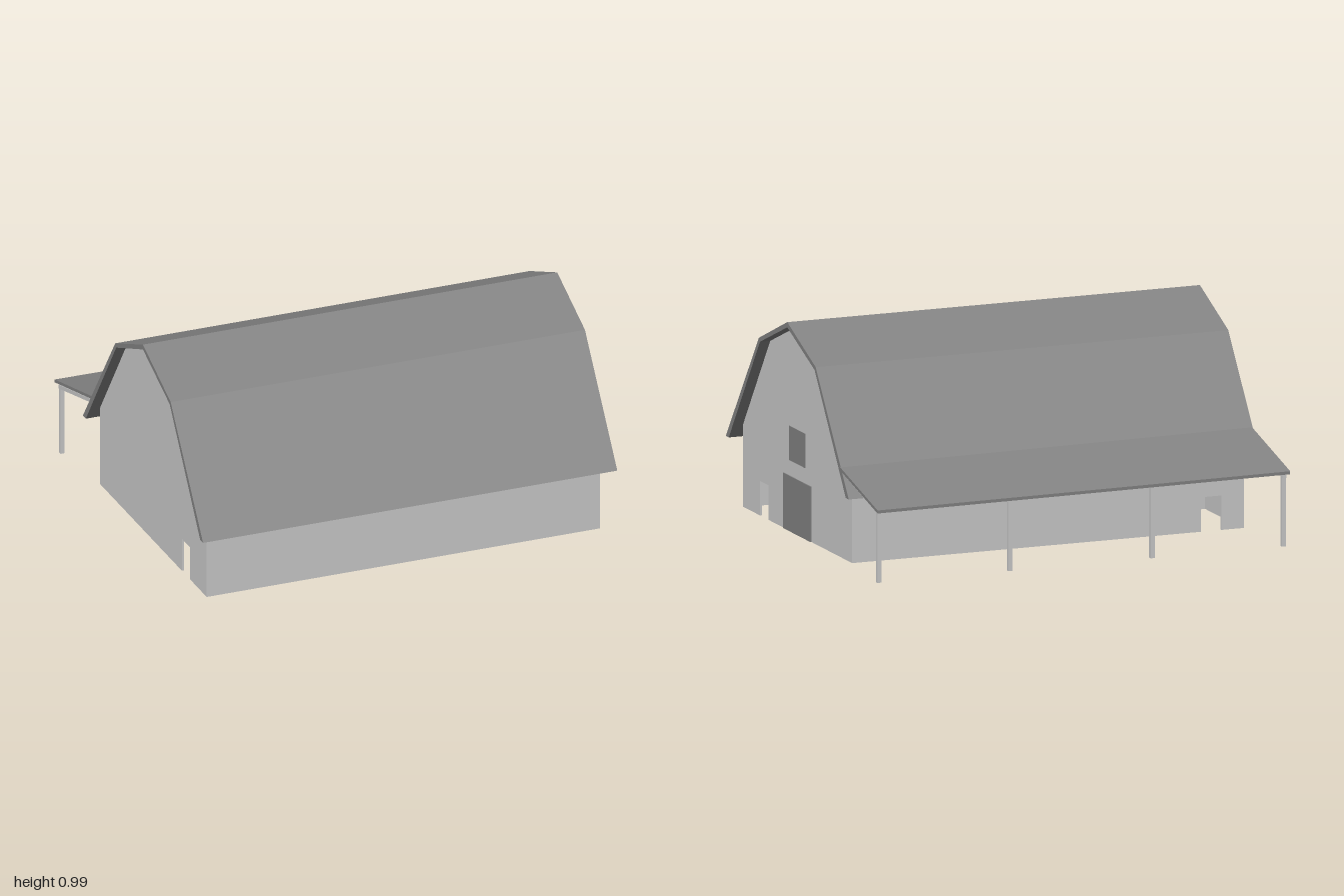
import * as THREE from 'three';

const grey = new THREE.MeshStandardMaterial({ color: 0xcccccc, flatShading: true });
const dark = new THREE.MeshStandardMaterial({ color: 0x838383, flatShading: true });

export function createModel() {
  const barn = new THREE.Group();

  const add = (name, geometry, material = grey) => {
    const mesh = new THREE.Mesh(geometry, material);
    mesh.name = name;
    barn.add(mesh);
    return mesh;
  };

  // Box given by its limits on each axis
  const box = (name, [x0, x1], [y0, y1], [z0, z1], material) =>
    add(name, new THREE.BoxGeometry(x1 - x0, y1 - y0, z1 - z0)
      .translate((x0 + x1) / 2, (y0 + y1) / 2, (z0 + z1) / 2), material);

  const outline = (points) => new THREE.Shape(points.map(([a, b]) => new THREE.Vector2(a, b)));
  const extrude = (points, depth) =>
    new THREE.ExtrudeGeometry(outline(points), { depth, bevelEnabled: false });

  // Cross-section of [z, y] points swept along x
  const sweepX = (name, points, x0, x1, material) =>
    add(name, extrude(points.map(([z, y]) => [-z, y]), x1 - x0)
      .rotateY(Math.PI / 2).translate(x0, 0, 0), material);

  // Outline of [x, y] points swept along z
  const sweepZ = (name, points, z0, z1) =>
    add(name, extrude(points, z1 - z0).translate(0, 0, z0));

  const ridge = 0.17, base = 0.008, t = 0.01;
  const mirrorZ = (points) => points.map(([z, y]) => [2 * ridge - z, y]).reverse();

  // Gambrel roof shell, overhanging all walls
  const outer = [[0.885, 0.32], [0.5, 0.848]];
  const inner = [[0.85, 0.32], [0.488, 0.832]];
  sweepX('roof', [
    ...outer, [ridge, 0.987], ...mirrorZ(outer),
    ...mirrorZ(inner).reverse(), [ridge, 0.963], ...inner.slice().reverse(),
  ], -1, 1, dark);

  // Gable walls, each with a small doorway cut up from the bottom
  const gable = [
    [0.805, base], [0.805, 0.383], [0.488, 0.832], [ridge, 0.963],
    [-0.148, 0.832], [-0.465, 0.383], [-0.465, base],
    [0.51, base], [0.51, 0.166], [0.608, 0.166], [0.608, base],
  ];
  sweepX('rightGableWall', gable, 0.95 - t, 0.95);
  sweepX('leftGableWall', gable, -0.95, -0.95 + t);

  // Long walls
  box('frontWall', [-0.95, 0.95], [base, 0.385], [0.805 - t, 0.805]);
  const doorwayWall = (x0, x1, d0, d1, top) => [
    [x0, base], [d0, base], [d0, 0.166], [d1, 0.166], [d1, base],
    [x1, base], [x1, top], [x0, top],
  ];
  sweepZ('backWall', doorwayWall(-0.95, 0.95, -0.84, -0.74, 0.385), -0.465, -0.465 + t);

  // Large door and hayloft hatch on the gable
  box('barnDoor', [0.945, 0.955], [base, 0.262], [0.008, 0.326], dark);
  box('loftHatch', [0.945, 0.953], [0.333, 0.49], [0.075, 0.264], dark);

  // Inner room in the back corner
  sweepZ('roomLongWall', doorwayWall(-0.94, 0.205, -0.43, -0.34, 0.4), -0.035, -0.035 + t);
  box('roomEndWall', [0.195, 0.205], [base, 0.4], [-0.455, -0.03]);

  // Hayloft on posts, with low rails running to the front wall
  const loftEdge = 0.415;
  box('loftFloor', [-0.37, 0.6], [0.3, 0.31], [loftEdge - 0.01, 0.795]);
  for (const x of [-0.355, 0.585]) {
    box('loftPost', [x - 0.01, x + 0.01], [base, 0.3], [loftEdge - 0.01, loftEdge + 0.01]);
    box('stallRail', [x - 0.008, x + 0.008], [0.08, 0.092], [loftEdge, 0.795]);
  }

  // Guard rail along the loft edge
  for (const x of [-0.36, 0.115, 0.59]) {
    box('guardPost', [x - 0.008, x + 0.008], [0.31, 0.38], [loftEdge - 0.008, loftEdge + 0.008]);
  }
  box('guardRail', [-0.37, 0.6], [0.38, 0.392], [loftEdge - 0.008, loftEdge + 0.008]);

  // Steep ladder board leaning on the end of the loft
  sweepZ('loftLadder', [[-0.415, 0], [-0.4, 0], [-0.37, 0.31], [-0.385, 0.31]], 0.47, 0.57);

  // Post in line with the room wall, carrying the roof
  box('roofPost', [0.58, 0.6], [base, 0.88], [-0.05, -0.03]);

  // Lean-to roof on the back, dropping slightly to one end
  sweepX('leanToRoof', [[-0.44, 0.456], [-0.884, 0.344], [-0.884, 0.33], [-0.44, 0.442]],
    -1, 1, dark).rotation.z = -0.005;

  // End rafters and four posts of the lean-to
  for (const x of [-0.98, 0.98]) {
    sweepX('leanToRafter', [[-0.45, 0.438], [-0.86, 0.333], [-0.86, 0.314], [-0.47, 0.415]],
      x - 0.01, x + 0.01);
  }
  for (const x of [-0.98, -0.345, 0.345, 0.98]) {
    box('leanToPost', [x - 0.01, x + 0.01], [0, 0.334], [-0.855, -0.836]);
  }

  return barn;
}
